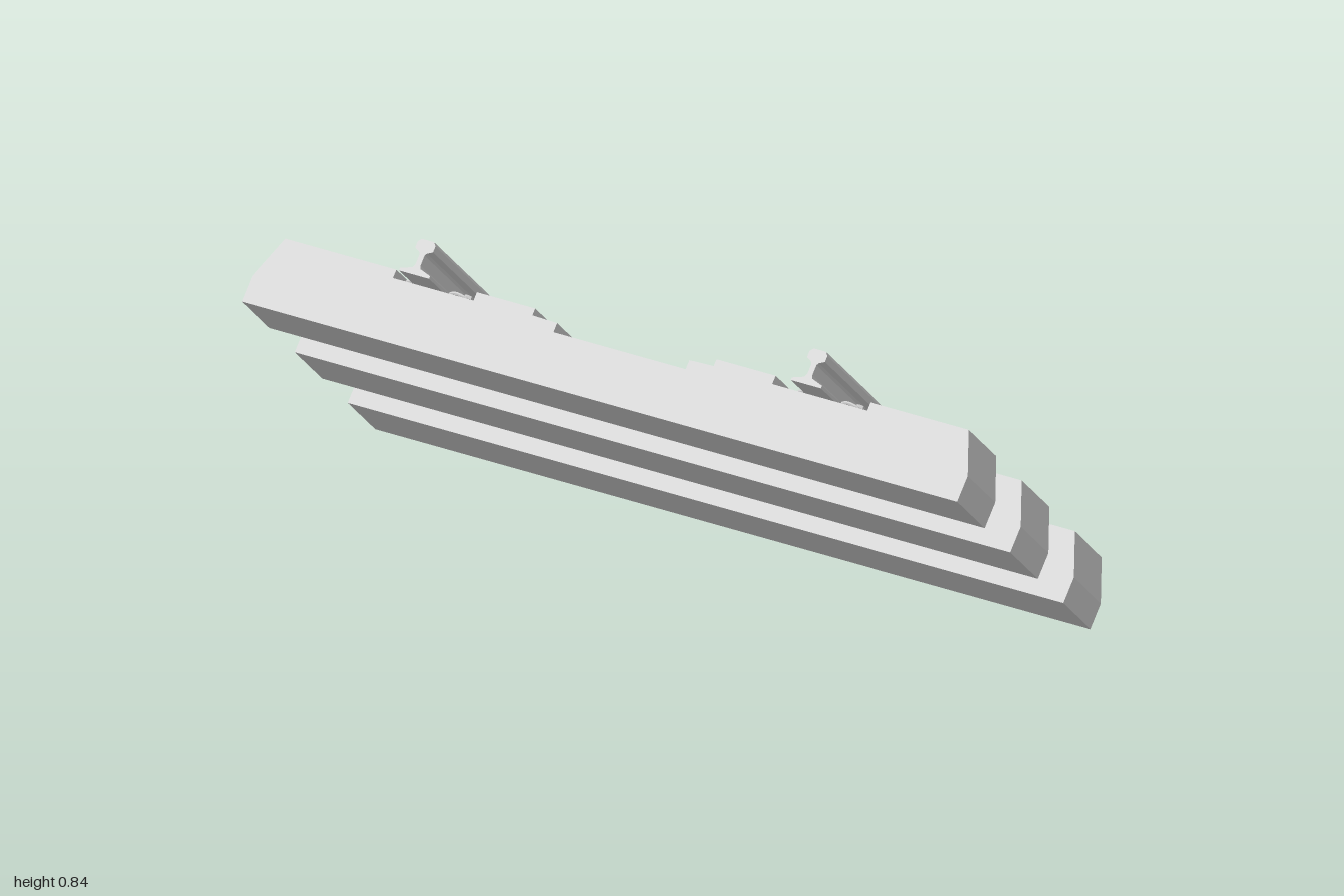
import * as THREE from 'three';

const material = new THREE.MeshStandardMaterial({ color: 0xcccccc, flatShading: true });
const SLEEPER_U = [-0.041, 0.301, 0.643]; // sleeper positions along the track
const RAIL_X = [-0.55, 0.545];
const TOP = 0.313, SEAT = 0.291, BASE = 0.135;

function add(parent, name, geometry, x = 0, y = 0, z = 0) {
  const mesh = new THREE.Mesh(geometry, material);
  mesh.name = name;
  mesh.position.set(x, y, z);
  parent.add(mesh);
  return mesh;
}

// Extrude an outline in x/y, centred along z
function extrude(points, length) {
  const shape = new THREE.Shape(points.map(([x, y]) => new THREE.Vector2(x, y)));
  return new THREE.ExtrudeGeometry(shape, { depth: length, bevelEnabled: false })
    .translate(0, 0, -length / 2);
}

// Sleeper side outline: chamfered ends, two rail seats and a stepped waist
const sleeperGeometry = extrude([
  [-1, BASE], [1, BASE], [1, 0.203], [0.955, TOP],
  [0.68, TOP], [0.68, SEAT], [0.415, SEAT], [0.415, TOP],
  [0.25, TOP], [0.25, 0.295], [0.183, 0.293], [0.183, 0.269],
  [-0.187, 0.269], [-0.187, 0.293], [-0.257, 0.295], [-0.257, TOP],
  [-0.42, TOP], [-0.42, SEAT], [-0.645, SEAT], [-0.645, TOP],
  [-0.955, TOP], [-1, 0.203],
], 0.178);

// Rail section: right half from foot to head, then mirrored
const half = [
  [0.042, 0], [0.042, 0.007], [0.011, 0.017], [0.007, 0.026],
  [0.007, 0.052], [0.011, 0.058], [0.025, 0.065], [0.025, 0.081], [0.017, 0.09],
];
const railGeometry = extrude(
  [...half, ...half.slice().reverse().map(([x, y]) => [-x, y])], 1.029);

// Spring clip: bent rod with two arms resting on the rail foot
function clipGeometry(side) {
  const arm = [
    [0.041, 0.011, 0.022], [0.04, 0.012, 0.042], [0.056, 0.016, 0.045],
    [0.082, 0.012, 0.04], [0.087, 0.009, 0.027], [0.078, 0.012, 0.016],
    [0.058, 0.015, 0.012],
  ];
  const path = [...arm, [0.05, 0.015, 0], ...arm.slice().reverse().map(([x, y, z]) => [x, y, -z])];
  const curve = new THREE.CatmullRomCurve3(
    path.map(([x, y, z]) => new THREE.Vector3(side * x, y, z)));
  return new THREE.TubeGeometry(curve, 36, 0.0045, 6);
}

function createFastening(side) {
  const group = new THREE.Group();
  group.name = 'railFastening';
  add(group, 'guidePlate', new THREE.BoxGeometry(0.046, 0.007, 0.115), side * 0.067, 0.0035, 0);
  add(group, 'springClip', clipGeometry(side));
  add(group, 'boltShaft', new THREE.CylinderGeometry(0.006, 0.006, 0.024, 8), side * 0.067, 0.012, 0);
  add(group, 'boltHead', new THREE.CylinderGeometry(0.011, 0.011, 0.008, 6), side * 0.067, 0.025, 0);
  return group;
}

export function createModel() {
  const model = new THREE.Group();
  model.name = 'railwayTrackSection';

  // The whole track is tilted, with its running surface facing up and back
  const track = new THREE.Group();
  track.name = 'tiltedTrack';
  track.rotation.x = -Math.PI / 4;
  model.add(track);

  for (const u of SLEEPER_U) {
    add(track, 'sleeper', sleeperGeometry, 0, 0, u);
    for (const x of RAIL_X) {
      for (const side of [-1, 1]) {
        const fastening = createFastening(side);
        fastening.position.set(x, SEAT, u);
        track.add(fastening);
      }
    }
  }

  for (const x of RAIL_X) add(track, 'rail', railGeometry, x, 0.292, 0.302);
  return model;
}
